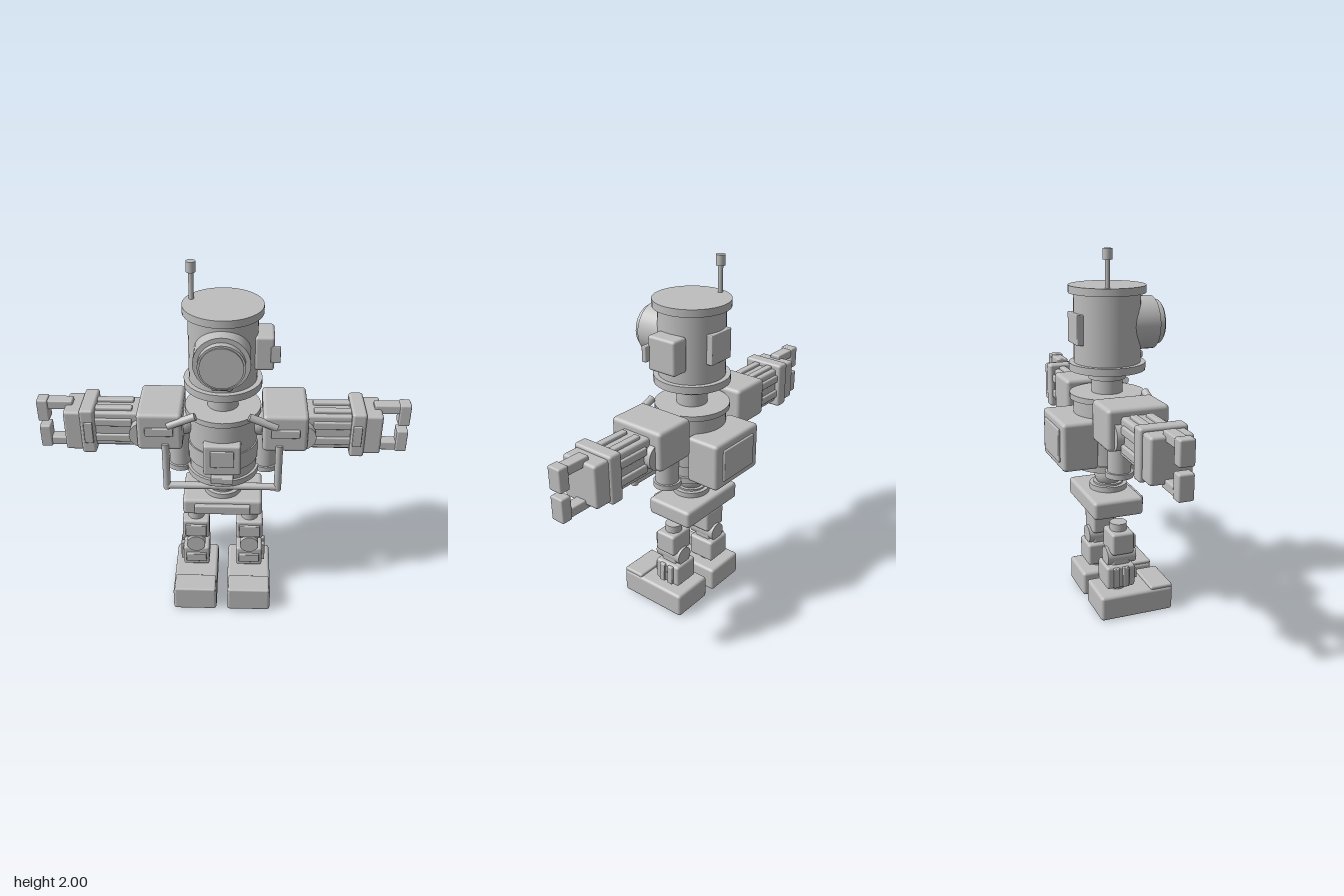
import * as THREE from 'three';
import { RoundedBoxGeometry } from 'three/addons/geometries/RoundedBoxGeometry.js';

const grey = new THREE.MeshStandardMaterial({ color: 0xbebebe });
grey.name = 'light grey';
const ZC = 0.013; // depth of the body's main axis

function add(parent, name, geometry) {
  const mesh = new THREE.Mesh(geometry, grey);
  mesh.name = name;
  parent.add(mesh);
  return mesh;
}

// Bevelled box given by its extents on each axis
function box(parent, name, [x0, x1], [y0, y1], [z0, z1], bevel = 0.015) {
  const w = Math.abs(x1 - x0), h = y1 - y0, d = z1 - z0;
  const r = Math.min(bevel, w * 0.3, h * 0.3, d * 0.3);
  const mesh = add(parent, name, new RoundedBoxGeometry(w, h, d, 2, r));
  mesh.position.set((x0 + x1) / 2, (y0 + y1) / 2, (z0 + z1) / 2);
  return mesh;
}

// Upright cylinder
function drum(parent, name, r, y0, y1, x = 0, z = ZC) {
  const mesh = add(parent, name, new THREE.CylinderGeometry(r, r, y1 - y0, 40));
  mesh.position.set(x, (y0 + y1) / 2, z);
  return mesh;
}

// Cylinder lying along z
function disc(parent, name, r, x, y, z0, z1) {
  const mesh = add(parent, name, new THREE.CylinderGeometry(r, r, z1 - z0, 32));
  mesh.rotation.x = Math.PI / 2;
  mesh.position.set(x, y, (z0 + z1) / 2);
  return mesh;
}

// Straight rod between two points
function rod(parent, name, a, b, r) {
  const from = new THREE.Vector3(...a), to = new THREE.Vector3(...b);
  const dir = to.clone().sub(from);
  const mesh = add(parent, name, new THREE.CylinderGeometry(r, r, dir.length(), 16));
  mesh.position.copy(from).add(to).multiplyScalar(0.5);
  mesh.quaternion.setFromUnitVectors(new THREE.Vector3(0, 1, 0), dir.normalize());
  return mesh;
}

function group(parent, name) {
  const g = new THREE.Group();
  g.name = name;
  parent.add(g);
  return g;
}

function buildHead(root) {
  const head = group(root, 'head');
  drum(head, 'headDrum', 0.178, 1.37, 1.79);
  drum(head, 'topRim', 0.205, 1.765, 1.805);
  drum(head, 'bottomRim', 0.205, 1.36, 1.4);
  // Eye housing stepping in to the lens
  disc(head, 'eyeHousing', 0.142, 0, 1.597, 0.05, 0.262);
  disc(head, 'eyeRing', 0.118, 0, 1.597, 0.25, 0.297);
  disc(head, 'eyeLens', 0.108, 0, 1.597, 0.29, 0.305);
  box(head, 'mouth', [-0.053, 0.053], [1.412, 1.455], [0.16, 0.2]);
  box(head, 'earBox', [0.16, 0.26], [1.475, 1.66], [-0.085, 0.09]);
  box(head, 'earSwitch', [0.24, 0.29], [1.525, 1.61], [0.075, 0.102], 0.005);
  box(head, 'headBackPlate', [-0.08, 0.08], [1.505, 1.665], [-0.18, -0.13], 0.005);
  drum(head, 'antenna', 0.013, 1.8, 1.95, -0.16, -0.045);
  drum(head, 'antennaTip', 0.024, 1.945, 2, -0.16, -0.045);
  drum(head, 'neckTop', 0.07, 1.335, 1.365);
  drum(head, 'neckRing', 0.1, 1.31, 1.34);
  drum(head, 'neckBase', 0.083, 1.22, 1.315);
}

function buildTorso(root) {
  const torso = group(root, 'torso');
  drum(torso, 'torsoDrum', 0.183, 0.84, 1.225);
  drum(torso, 'torsoTopRim', 0.203, 1.205, 1.235);
  drum(torso, 'torsoBand', 0.19, 0.925, 1.025);
  drum(torso, 'torsoBottomRim', 0.198, 0.83, 0.865);
  box(torso, 'chestPanel', [-0.1, 0.1], [0.912, 1.1], [0.15, 0.225]);
  box(torso, 'chestPlate', [-0.062, 0.062], [0.97, 1.07], [0.215, 0.235], 0.005);
  box(torso, 'bellyLatch', [-0.06, 0.06], [0.87, 0.905], [0.18, 0.245], 0.005);
  box(torso, 'backpack', [-0.185, 0.185], [0.862, 1.125], [-0.297, -0.1], 0.02);
  box(torso, 'backpackPlate', [-0.13, 0.13], [0.905, 1.085], [-0.308, -0.28], 0.005);
  // Rail hung from the shoulders
  rod(torso, 'railCross', [-0.3, 0.81, 0.175], [0.3, 0.81, 0.175], 0.02);
  for (const s of [-1, 1]) {
    rod(torso, 'railUpright', [s * 0.3, 0.792, 0.175], [s * 0.3, 1.08, 0.175], 0.02);
    rod(torso, 'collarRod', [s * 0.14, 1.25, 0.175], [s * 0.285, 1.19, 0.175], 0.021);
    drum(torso, 'sideCanister', 0.063, 0.84, 1.08, s * 0.235, -0.005);
    drum(torso, 'canisterFoot', 0.075, 0.83, 0.86, s * 0.235, -0.005);
    const ball = add(torso, 'shoulderBall', new THREE.SphereGeometry(0.075, 24, 16));
    ball.position.set(s * 0.2, 1.13, ZC);
  }
}

function buildArm(root, s) {
  const arm = group(root, s > 0 ? 'leftArm' : 'rightArm');
  const part = (name, [a, b], ...rest) => box(arm, name, [s * a, s * b], ...rest);
  part('shoulderBlock', [0.21, 0.448], [1.04, 1.257], [-0.15, 0.18], 0.022);
  part('shoulderPlate', [0.255, 0.405], [1.133, 1.18], [0.17, 0.193], 0.005);
  disc(arm, 'elbowDisc', 0.073, s * 0.42, 1.113, -0.115, 0.153);
  // Forearm with raised strips on all four sides
  part('forearmCore', [0.42, 0.69], [1.015, 1.218], [-0.08, 0.1]);
  for (const z of [-0.05, 0.035]) {
    part('topStrip', [0.48, 0.68], [1.2, 1.235], [z, z + 0.04], 0.008);
    part('bottomStrip', [0.48, 0.68], [1, 1.035], [z, z + 0.04], 0.008);
  }
  for (const y of [1.045, 1.14]) {
    part('frontStrip', [0.48, 0.68], [y, y + 0.045], [0.08, 0.113], 0.008);
    part('backStrip', [0.48, 0.68], [y, y + 0.045], [-0.095, -0.06], 0.008);
  }
  part('wristBand', [0.675, 0.752], [0.985, 1.248], [-0.11, 0.135]);
  part('wristPlate', [0.685, 0.732], [1.055, 1.18], [0.125, 0.145], 0.005);
  part('handBlock', [0.735, 0.84], [0.998, 1.23], [-0.095, 0.122]);
  // Two hooked gripper jaws
  part('upperJaw', [0.8, 0.975], [1.2, 1.252], [-0.02, 0.045], 0.008);
  part('upperJawTip', [0.925, 1], [1.13, 1.258], [-0.026, 0.053], 0.01).scale.x = 0.8;
  part('lowerJaw', [0.8, 0.975], [0.975, 1.025], [-0.02, 0.045], 0.008);
  part('lowerJawTip', [0.925, 1], [0.969, 1.1], [-0.026, 0.053], 0.01).scale.x = 0.8;
}

function buildHips(root) {
  const hips = group(root, 'hips');
  drum(hips, 'waistStem', 0.07, 0.77, 0.84);
  const ball = add(hips, 'waistBall', new THREE.SphereGeometry(0.077, 32, 20));
  ball.position.set(0, 0.765, 0.02);
  drum(hips, 'waistRing', 0.082, 0.7, 0.722, 0, 0.02);
  drum(hips, 'waistBase', 0.104, 0.67, 0.712, 0, 0.02);
  box(hips, 'pelvis', [-0.222, 0.222], [0.58, 0.682], [-0.14, 0.145], 0.02);
  box(hips, 'pelvisPlate', [-0.155, 0.155], [0.603, 0.66], [0.13, 0.17], 0.008);
}

function buildLeg(root, s) {
  const leg = group(root, s > 0 ? 'leftLeg' : 'rightLeg');
  const c = s * 0.155;
  const part = (name, half, ...rest) => box(leg, name, [c - half, c + half], ...rest);
  drum(leg, 'hipPeg', 0.047, 0.47, 0.53, c, 0.022);
  part('thigh', 0.077, [0.36, 0.487], [-0.04, 0.088]);
  part('thighPlate', 0.061, [0.385, 0.463], [0.08, 0.103], 0.005);
  disc(leg, 'knee', 0.053, c, 0.333, -0.055, 0.11);
  part('kneeLink', 0.05, [0.27, 0.38], [-0.03, 0.075]);
  part('shin', 0.077, [0.162, 0.293], [-0.07, 0.095]);
  part('shinPlate', 0.06, [0.2, 0.255], [0.085, 0.112], 0.005);
  for (const z of [-0.035, 0.02]) {
    box(leg, 'shinRib', [s * 0.225, s * 0.248], [0.172, 0.288], [z, z + 0.035], 0.005);
  }
  drum(leg, 'ankle', 0.05, 0.12, 0.17, c, 0.013);
  part('foot', 0.125, [0, 0.142], [-0.12, 0.305], 0.018);
  part('toeCap', 0.118, [0.1, 0.156], [0.175, 0.305], 0.01);
}

export function createModel() {
  const robot = new THREE.Group();
  robot.name = 'robot';
  buildHead(robot);
  buildTorso(robot);
  buildHips(robot);
  for (const s of [-1, 1]) {
    buildArm(robot, s);
    buildLeg(robot, s);
  }
  return robot;
}
